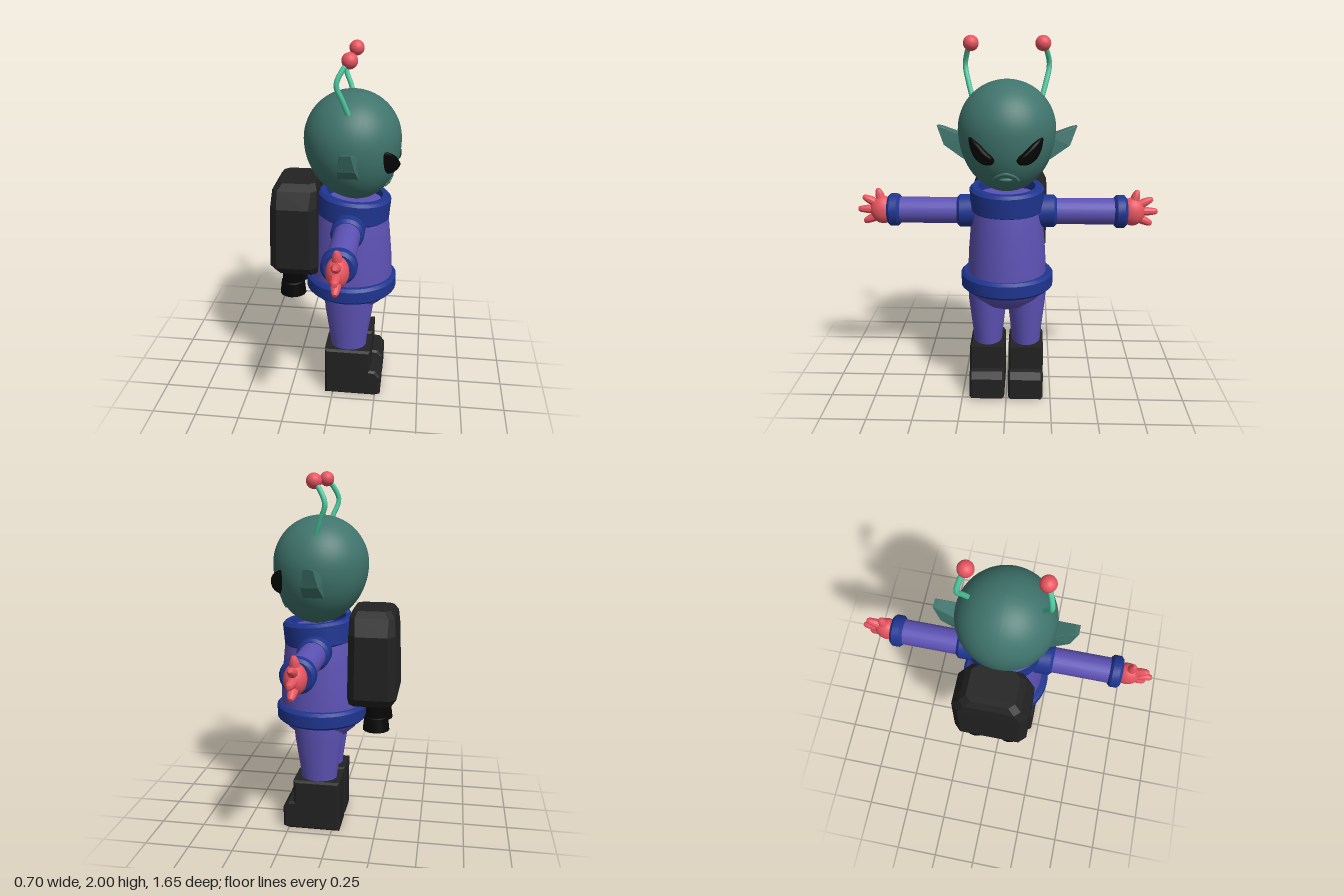
import * as THREE from 'three';
import { toCreasedNormals } from 'three/addons/utils/BufferGeometryUtils.js';
import { ConvexGeometry } from 'three/addons/geometries/ConvexGeometry.js';

const CX = 0.087; // body axis; the figure faces +x
const mat = (color, flatShading = false) => new THREE.MeshStandardMaterial({ color, flatShading });
const suit = mat(0x5d52b5), trim = mat(0x1f3590), skin = mat(0x3f746c), skinFlat = mat(0x3f746c, true);
const dark = mat(0x222222, true), black = mat(0x060606), red = mat(0xe85560), mint = mat(0x4fc9a0);

function add(parent, name, geometry, material, x = 0, y = 0, z = 0) {
  const mesh = new THREE.Mesh(geometry, material);
  mesh.name = name;
  mesh.position.set(x, y, z);
  parent.add(mesh);
  return mesh;
}

// Turned shape from [radius, height] pairs, listed bottom to top
function turned(points, sx = 1, sz = 1, sides = 32) {
  const g = new THREE.LatheGeometry(points.map(p => new THREE.Vector2(...p)), sides);
  return toCreasedNormals(g.scale(sx, 1, sz), 0.6);
}

// Rounded band with an inner radius
const band = (inner, outer, y0, y1, sx = 1, sz = 1) => {
  const b = 0.015;
  return turned([[inner, y0], [outer - b, y0], [outer, y0 + b], [outer, y1 - b],
    [outer - b, y1], [inner, y1], [inner, y0]], sx, sz);
};

// Head rule: round skull, longer lower half, chin pushed slightly forward
const HY = 1.515, HR = 0.262, CHIN = 0.33;
const chinShift = y => (y < HY ? 0.025 * ((HY - y) / CHIN) ** 2 : 0);
function faceX(y, z) {
  const t = (HY - y) / (y < HY ? CHIN : HR);
  const r2 = HR * HR * (1 - t * t);
  return CX + chinShift(y) + Math.sqrt(Math.max(0, r2 - z * z));
}

function headGeometry() {
  const g = new THREE.SphereGeometry(HR, 48, 32), p = g.attributes.position;
  for (let i = 0; i < p.count; i++) {
    const y = HY + p.getY(i) * (p.getY(i) < 0 ? CHIN / HR : 1);
    p.setXYZ(i, p.getX(i) + CX + chinShift(y), y, p.getZ(i));
  }
  g.computeVertexNormals();
  return g;
}

// Slanted eye: a low dome laid over the face
function eyeGeometry(side) {
  const outline = new THREE.CatmullRomCurve3([[0.192, 1.507], [0.19, 1.45], [0.163, 1.39], [0.115, 1.357],
    [0.065, 1.362], [0.05, 1.39], [0.1, 1.443], [0.145, 1.485]]
    .map(([z, y]) => new THREE.Vector3(0, y, z)), true);
  const N = 36, K = 6, pos = [], idx = [];
  for (let k = 0; k <= K; k++) for (let j = 0; j < N; j++) {
    const p = outline.getPoint(j / N), r = k / K;
    const y = 1.425 + (p.y - 1.425) * r, z = 0.128 + (p.z - 0.128) * r;
    pos.push(faceX(y, z) + 0.03 - 0.04 * r ** 4, y, z * side);
    if (k === K) continue;
    const a = k * N + j, c = k * N + (j + 1) % N, b = a + N, d = c + N;
    idx.push(...(side > 0 ? [a, b, d, a, d, c] : [a, d, b, a, c, d]));
  }
  const g = new THREE.BufferGeometry();
  g.setAttribute('position', new THREE.Float32BufferAttribute(pos, 3));
  g.setIndex(idx);
  g.computeVertexNormals();
  return g;
}

// Pointed ear from [z, y, half width] corners
function earGeometry(side) {
  const corners = [[0.18, 1.36, 0.055], [0.235, 1.365, 0.055], [0.335, 1.435, 0.045],
    [0.372, 1.533, 0.025], [0.35, 1.53, 0.025], [0.22, 1.48, 0.05]];
  return new ConvexGeometry(corners.flatMap(([z, y, w]) =>
    [-w, w].map(x => new THREE.Vector3(CX + x, y, z * side))));
}

function buildHead() {
  const head = new THREE.Group();
  head.name = 'head';
  add(head, 'skull', headGeometry(), skin);
  for (const s of [1, -1]) {
    add(head, 'eye', eyeGeometry(s), black);
    add(head, 'ear', earGeometry(s), skinFlat);
    const path = new THREE.CatmullRomCurve3([[CX, 1.67, 0.18], [0.055, 1.76, 0.205], [0.025, 1.845, 0.222],
      [0.05, 1.91, 0.21], [CX, 1.96, 0.187]].map(([x, y, z]) => new THREE.Vector3(x, y, z * s)));
    add(head, 'antenna', new THREE.TubeGeometry(path, 20, 0.014, 10), mint);
    add(head, 'antennaTip', new THREE.SphereGeometry(0.041, 20, 14), red, CX, 1.959, 0.187 * s);
  }
  // Small arched mouth with a lower lip
  const arch = [-0.065, -0.04, 0, 0.04, 0.065].map((z, i) => {
    const y = [1.275, 1.302, 1.315, 1.302, 1.275][i];
    return new THREE.Vector3(faceX(y, z) - 0.003, y, z);
  });
  add(head, 'upperLip', new THREE.TubeGeometry(new THREE.CatmullRomCurve3(arch), 20, 0.01, 8), skin);
  add(head, 'lowerLip', new THREE.SphereGeometry(1, 16, 12), skin, faceX(1.28, 0) - 0.002, 1.28, 0)
    .scale.set(0.014, 0.013, 0.035);
  return head;
}

function buildBody() {
  const body = new THREE.Group();
  body.name = 'body';
  add(body, 'torso', turned([[0.225, 0.65], [0.222, 0.74], [0.217, 0.84], [0.205, 0.98], [0.195, 1.08],
    [0.18, 1.16], [0, 1.17]], 1.05, 0.98), suit, CX);
  add(body, 'hips', turned([[0, 0.49], [0.07, 0.505], [0.145, 0.54], [0.2, 0.59], [0.225, 0.64], [0, 0.65]]), suit, CX);
  add(body, 'belt', band(0.2, 0.257, 0.63, 0.725), trim, CX);
  const collar = add(body, 'collar', band(0.155, 0.203, -0.07, 0.068), trim, CX + 0.01, 1.143);
  collar.rotation.z = -0.09;
  return body;
}

// Arm along local +z
function buildArm(side) {
  const arm = new THREE.Group();
  arm.name = side > 0 ? 'leftArm' : 'rightArm';
  arm.position.set(CX, 1.063, 0);
  arm.rotation.y = side > 0 ? 0 : Math.PI;
  const along = g => g.rotateX(Math.PI / 2);
  add(arm, 'sleeve', along(new THREE.CylinderGeometry(0.072, 0.072, 0.48, 24)), suit, 0, 0, 0.38);
  add(arm, 'shoulderCuff', along(band(0.06, 0.09, 0.15, 0.272)), trim);
  add(arm, 'wristCuff', along(band(0.04, 0.09, 0.585, 0.655)), trim);
  add(arm, 'palm', new THREE.SphereGeometry(1, 20, 14), red, 0, 0, 0.685).scale.set(0.057, 0.078, 0.07);
  // Fan of fingers, thumb on top: [tip z, tip y]
  for (const [z, y] of [[0.71, 0.122], [0.795, 0.075], [0.825, 0.003], [0.795, -0.07]]) {
    const start = new THREE.Vector3(0, y * 0.3, 0.69), dir = new THREE.Vector3(0, y, z).sub(start);
    const len = dir.length();
    const g = turned([[0.028, 0], [0.024, len * 0.6], [0.018, len - 0.015], [0.011, len - 0.003], [0, len]], 1, 1, 10);
    add(arm, 'finger', g, red, 0, start.y, start.z).quaternion
      .setFromUnitVectors(new THREE.Vector3(0, 1, 0), dir.normalize());
  }
  return arm;
}

function buildLeg(side) {
  const leg = new THREE.Group();
  leg.name = side > 0 ? 'leftLeg' : 'rightLeg';
  leg.position.set(CX - 0.002, 0, 0.109 * side);
  add(leg, 'trouser', turned([[0.1, 0.27], [0.106, 0.34], [0.137, 0.55], [0.142, 0.64], [0, 0.645]], 1, 0.79, 24), suit);
  // Boot side outline extruded across its width
  const b = 0.012;
  const outline = [[-0.118, 0], [0.16, 0], [0.184, 0.02], [0.184, 0.125], [0.16, 0.153],
    [0.122, 0.158], [0.122, 0.288], [-0.118, 0.288]];
  const shape = new THREE.Shape(outline.map(([x, y]) => new THREE.Vector2(x, y === 0 ? b : y)));
  const g = new THREE.ExtrudeGeometry(shape, { depth: 0.172, bevelThickness: b, bevelSize: b, bevelSegments: 1 });
  add(leg, 'boot', g.translate(0, 0, -0.086), dark);
  return leg;
}

function buildBackpack() {
  const pack = new THREE.Group();
  pack.name = 'backpack';
  // Stacked chamfered outlines: [y, back x, front x, half width, chamfer]
  const layers = [[0.76, -0.325, -0.09, 0.17, 0.03], [0.81, -0.355, -0.085, 0.21, 0.04],
    [1.16, -0.343, -0.09, 0.21, 0.04], [1.25, -0.335, -0.092, 0.165, 0.03], [1.285, -0.31, -0.105, 0.13, 0.03]];
  const pts = layers.flatMap(([y, x0, x1, w, c]) => [1, -1].flatMap(s =>
    [[x0, w - c], [x0 + c, w], [x1 - c, w], [x1, w - c]].map(([x, z]) => new THREE.Vector3(x, y, z * s - 0.01))));
  add(pack, 'tank', new ConvexGeometry(pts), dark);
  for (const s of [1, -1]) {
    const nozzle = turned([[0, 0.66], [0.055, 0.65], [0.066, 0.61], [0.075, 0.61], [0.066, 0.685],
      [0.058, 0.69], [0.06, 0.78]], 1, 1, 16);
    add(pack, 'thruster', nozzle, black, -0.24, 0, 0.1 * s - 0.01);
  }
  return pack;
}

export function createModel() {
  const model = new THREE.Group();
  model.name = 'spaceAlien';
  model.add(buildHead(), buildBody(), buildBackpack());
  for (const s of [1, -1]) model.add(buildArm(s), buildLeg(s));
  return model;
}
